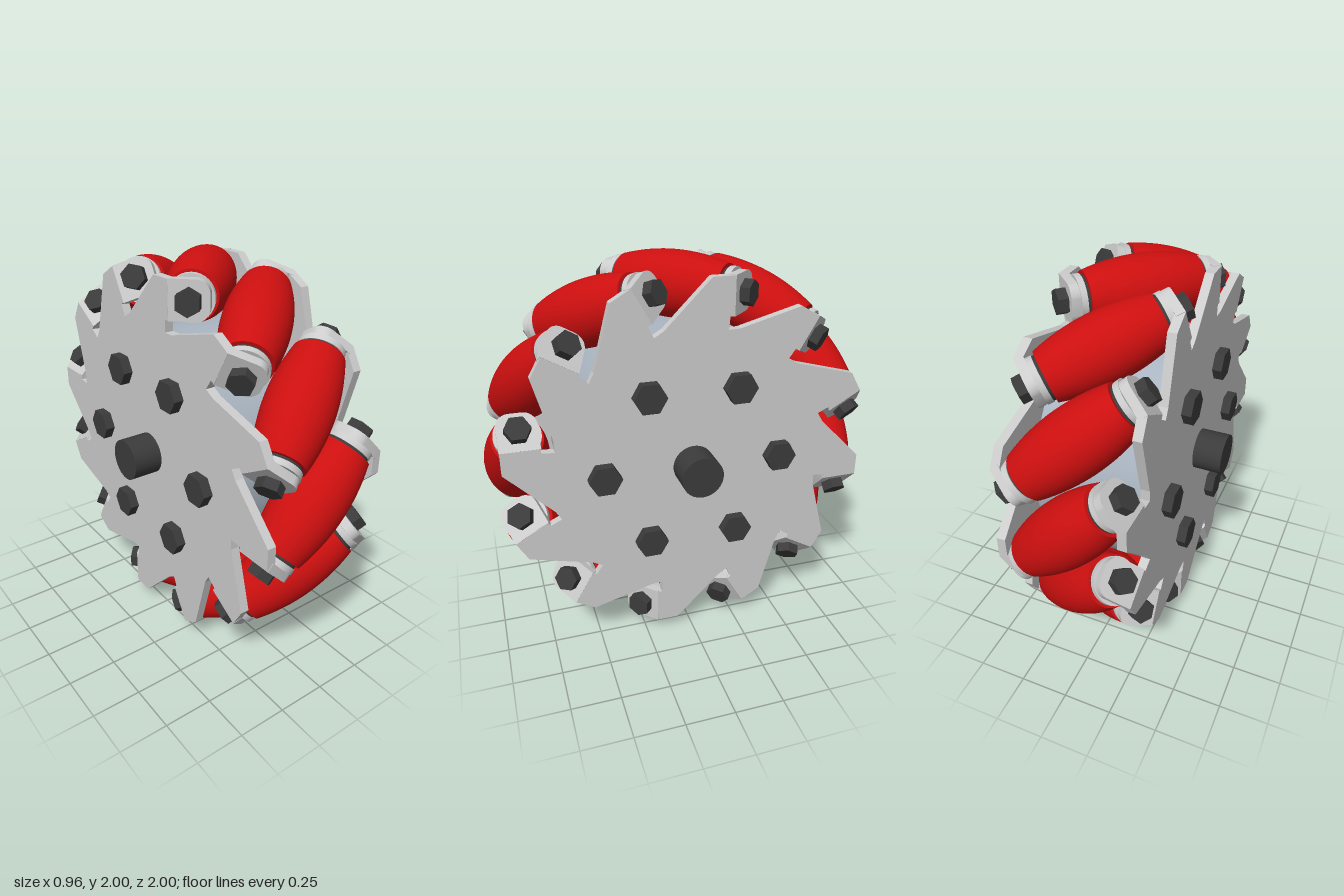
import * as THREE from 'three';
import { toCreasedNormals } from 'three/addons/utils/BufferGeometryUtils.js';

const COUNT = 12;            // rollers around the wheel
const AXIS_R = 0.836;        // distance of roller axes from the wheel axis
const PLATE_IN = 0.285, PLATE_OUT = 0.33;

const mat = (name, color) => {
  const m = new THREE.MeshStandardMaterial({ color });
  m.name = name;
  return m;
};

const mesh = (name, geometry, material) => {
  const m = new THREE.Mesh(geometry, material);
  m.name = name;
  return m;
};

// Cylinder along z from z0 to z1
const rod = (r, z0, z1, sides) => {
  const g = new THREE.CylinderGeometry(r, r, z1 - z0, sides);
  g.rotateX(Math.PI / 2).translate(0, 0, (z0 + z1) / 2);
  return toCreasedNormals(g, 0.6);
};

// Cylinder along x from x0 to x1
const axle = (r, x0, x1, sides) => {
  const g = new THREE.CylinderGeometry(r, r, x1 - x0, sides);
  g.rotateZ(Math.PI / 2).translate((x0 + x1) / 2, 0, 0);
  return toCreasedNormals(g, 0.6);
};

// Toothed side plate: one tooth profile (radial, tangential) repeated around
function plateGeometry() {
  const tooth = [[0.70, -0.15], [0.93, 0.08], [0.93, 0.193], [0.742, 0.193], [0.742, 0.17], [0.68, 0.165]];
  const points = [];
  for (let i = 0; i < COUNT; i++) {
    const a = (i / COUNT) * Math.PI * 2, c = Math.cos(a), s = Math.sin(a);
    for (const [u, t] of tooth) points.push(new THREE.Vector2(-(u * c - t * s), u * s + t * c));
  }
  const g = new THREE.ExtrudeGeometry(new THREE.Shape(points), { depth: PLATE_OUT - PLATE_IN, bevelEnabled: false });
  return g.rotateY(Math.PI / 2).translate(PLATE_IN, 0, 0);
}

// Bent tab that carries a roller end: square at the fold, rounded at the free end
function tabGeometry() {
  const h = 0.096, r = 0.065;
  const s = new THREE.Shape();
  s.moveTo(h, -h);
  s.lineTo(h, h);
  s.lineTo(-h + r, h);
  s.absarc(-h + r, h - r, r, Math.PI / 2, Math.PI, false);
  s.lineTo(-h, -h + r);
  s.absarc(-h + r, -h + r, r, Math.PI, Math.PI * 1.5, false);
  s.closePath();
  const g = new THREE.ExtrudeGeometry(s, { depth: 0.045, bevelEnabled: false, curveSegments: 6 });
  return toCreasedNormals(g.translate(0, 0, 0.325), 0.6);
}

// Barrel shaped roller along z
function rollerGeometry() {
  const L = 0.282, profile = [new THREE.Vector2(0, -L)];
  for (let i = 0; i <= 16; i++) {
    const k = i / 8 - 1;
    profile.push(new THREE.Vector2(0.164 - 0.04 * k * k, k * L));
  }
  profile.push(new THREE.Vector2(0, L));
  return toCreasedNormals(new THREE.LatheGeometry(profile, 40).rotateX(Math.PI / 2), 0.6);
}

export function createModel() {
  const steel = mat('plate steel', 0xcccccc);
  const dark = mat('dark bolt', 0x3b3b3b);
  const red = mat('red rubber', 0xcc0f0f);
  const hubGrey = mat('hub blue grey', 0xa9b5c1);

  const model = new THREE.Group();
  model.name = 'rollerWheel';
  const wheel = new THREE.Group();
  wheel.name = 'wheel';
  wheel.position.y = 1;
  model.add(wheel);

  // Hub drum and central shaft
  wheel.add(mesh('hubDrum', axle(0.63, -0.29, 0.29, 64), hubGrey));
  wheel.add(mesh('shaft', axle(0.105, -0.48, 0.48, 40), dark));

  // Two side plates, each with a ring of six hex bolts
  const plate = plateGeometry();
  const plateBolt = axle(0.083, 0.32, 0.38, 6);
  for (const turn of [0, Math.PI]) {
    const side = new THREE.Group();
    side.name = turn ? 'rightSide' : 'leftSide';
    side.rotation.z = turn;
    side.add(mesh('sidePlate', plate, steel));
    for (let i = 0; i < 6; i++) {
      const a = (i * Math.PI) / 3;
      const bolt = mesh('plateBolt', plateBolt, dark);
      bolt.position.set(0, 0.455 * Math.sin(a), 0.455 * Math.cos(a));
      side.add(bolt);
    }
    wheel.add(side);
  }

  // Rollers set at 45 degrees, with washers, tabs and bolts at both ends
  const roller = rollerGeometry();
  const endParts = [
    ['gapWasher', rod(0.108, 0.28, 0.296, 32), dark],
    ['spacer', rod(0.113, 0.296, 0.326, 32), steel],
    ['tab', tabGeometry(), steel],
    ['rollerBolt', rod(0.064, 0.365, 0.42, 6), dark],
  ];
  const k = Math.SQRT1_2;
  const tilt = new THREE.Matrix4().makeBasis(
    new THREE.Vector3(k, -k, 0), new THREE.Vector3(0, 0, -1), new THREE.Vector3(k, k, 0));
  for (let i = 0; i < COUNT; i++) {
    const sector = new THREE.Group();
    sector.name = 'rollerSector';
    sector.rotation.x = (i / COUNT) * Math.PI * 2;
    const unit = new THREE.Group();
    unit.name = 'rollerUnit';
    unit.quaternion.setFromRotationMatrix(tilt);
    unit.position.z = AXIS_R;
    unit.add(mesh('roller', roller, red));
    for (const turn of [0, Math.PI]) {
      const end = new THREE.Group();
      end.name = 'rollerEnd';
      end.rotation.y = turn;
      for (const part of endParts) end.add(mesh(...part));
      unit.add(end);
    }
    sector.add(unit);
    wheel.add(sector);
  }
  return model;
}
